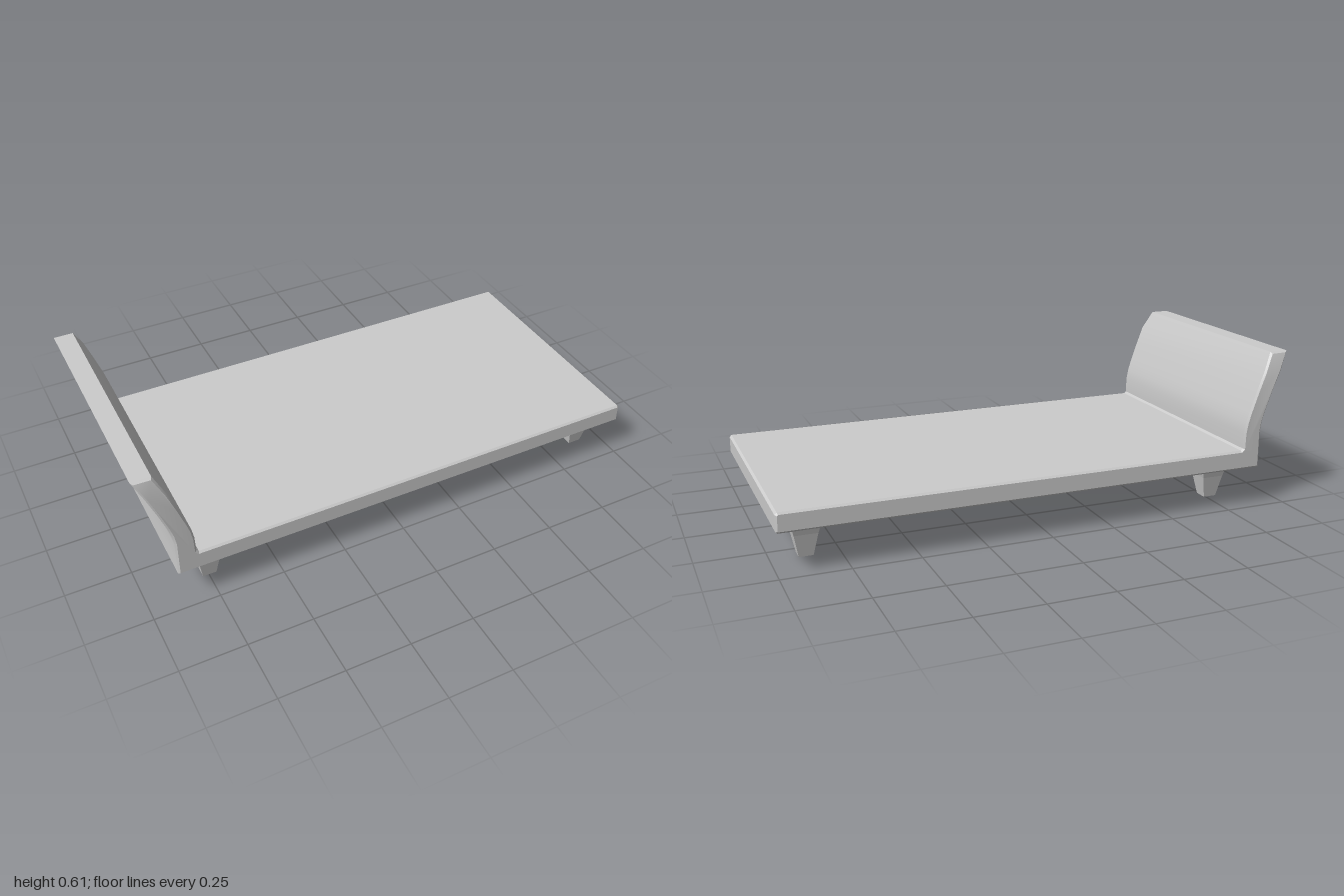
import * as THREE from 'three';
import { toCreasedNormals } from 'three/addons/utils/BufferGeometryUtils.js';

const material = new THREE.MeshStandardMaterial({ color: 0xcccccc });
const legMaterial = new THREE.MeshStandardMaterial({ color: 0xcccccc, flatShading: true });

const WIDTH = 0.968, BEVEL = 0.007;
const SHOULDER = 0.535, TOP = 0.607;

// Side profile: flat platform running into a headboard that curves outward
function createFrame() {
  const outer = [[-0.887, 0.3], [-0.893, 0.34], [-0.905, 0.38], [-0.932, 0.455], [-0.964, SHOULDER], [-1, TOP]];
  const inner = [[-0.927, TOP], [-0.89, SHOULDER], [-0.86, 0.455], [-0.834, 0.38], [-0.822, 0.34], [-0.815, 0.3]];
  const profile = [
    [-0.887, 0.155], [-0.887, 0.22], ...outer, ...inner,
    [-0.813, 0.238], [-0.805, 0.23],
    [0.992, 0.23], [1, 0.222], [1, 0.161], [0.994, 0.155],
  ];
  const shape = new THREE.Shape(profile.map(([x, y]) => new THREE.Vector2(x, y)));
  const depth = WIDTH - 2 * BEVEL;
  const geometry = new THREE.ExtrudeGeometry(shape, {
    depth, bevelEnabled: true, bevelSegments: 1,
    bevelSize: BEVEL, bevelThickness: BEVEL, bevelOffset: -BEVEL,
  });
  geometry.translate(0, 0, -depth / 2);

  // Narrow the headboard above the shoulder
  const pos = geometry.attributes.position;
  for (let i = 0; i < pos.count; i++) {
    const t = Math.max(0, (pos.getY(i) - SHOULDER) / (TOP - SHOULDER));
    pos.setZ(i, pos.getZ(i) * (1 - 0.045 * t));
  }
  const frame = new THREE.Mesh(toCreasedNormals(geometry, 0.4), material);
  frame.name = 'platformAndHeadboard';
  return frame;
}

// Square tapered leg: half width at each height
function createLeg(x, z, bottom, name) {
  const points = [[0, bottom], [0.026, bottom], [0.043, 0.1], [0.055, 0.146], [0.055, 0.16]]
    .map(([half, y]) => new THREE.Vector2(half * Math.SQRT2, y));
  const leg = new THREE.Mesh(new THREE.LatheGeometry(points, 4, Math.PI / 4), legMaterial);
  leg.position.set(x, 0, z);
  leg.name = name;
  return leg;
}

export function createModel() {
  const model = new THREE.Group();
  model.name = 'daybed';
  model.add(createFrame());

  // One leg at the headboard end stands slightly lower than the rest
  for (const [end, x] of [['head', -0.747], ['foot', 0.88]]) {
    for (const [side, z] of [['Front', 0.36], ['Back', -0.34]]) {
      const bottom = end === 'head' && side === 'Front' ? 0 : 0.014;
      model.add(createLeg(x, z, bottom, `${end}${side}Leg`));
    }
  }
  return model;
}
